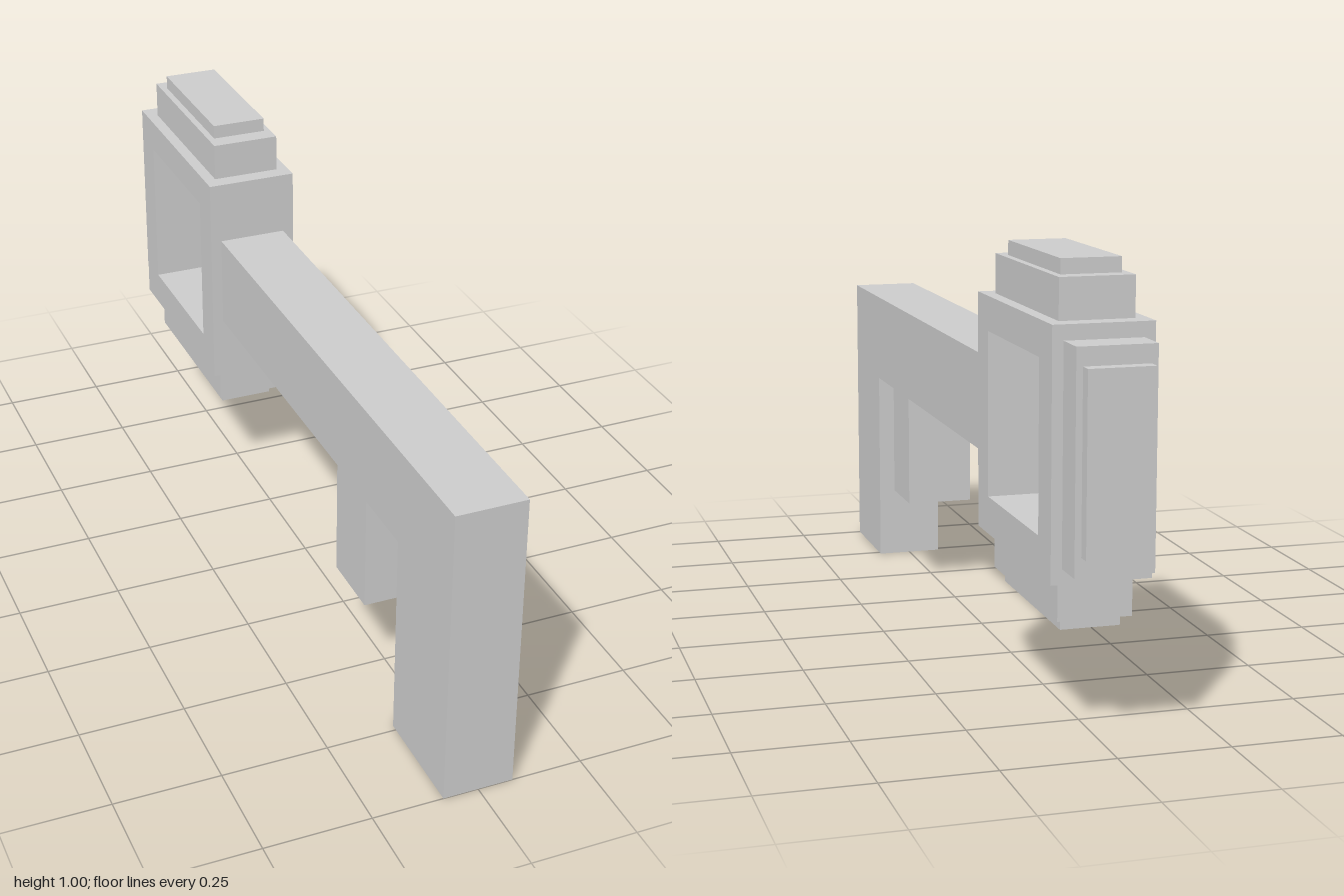
import * as THREE from 'three';

const material = new THREE.MeshStandardMaterial({ color: 0xcccccc, flatShading: true });

// Side profile given as [z, y] points, extruded across x and centred on it
function profile(name, points, width, hole) {
  const toVectors = (list) => list.map(([z, y]) => new THREE.Vector2(z, y));
  const shape = new THREE.Shape(toVectors(points));
  if (hole) shape.holes.push(new THREE.Path(toVectors(hole)));
  const geometry = new THREE.ExtrudeGeometry(shape, { depth: width, bevelEnabled: false });
  geometry.translate(0, 0, -width / 2).rotateY(-Math.PI / 2);
  const mesh = new THREE.Mesh(geometry, material);
  mesh.name = name;
  return mesh;
}

// Box from its width and its z and y limits
function block(name, width, z0, z1, y0, y1) {
  const mesh = new THREE.Mesh(new THREE.BoxGeometry(width, y1 - y0, z1 - z0), material);
  mesh.position.set(0, (y0 + y1) / 2, (z0 + z1) / 2);
  mesh.name = name;
  return mesh;
}

const rect = (z0, z1, y0, y1) => [[z0, y0], [z1, y0], [z1, y1], [z0, y1]];

export function createModel() {
  const key = new THREE.Group();
  key.name = 'key';

  // Shaft with a long end tooth and a short inner tooth
  key.add(profile('shaftAndTeeth', [
    [-0.355, 0.725], [-0.355, 0.5], [0.4, 0.5], [0.4, 0.22], [0.565, 0.22],
    [0.565, 0.5], [0.735, 0.5], [0.735, 0], [1, 0], [1, 0.725],
  ], 0.166));

  // Square bow with a window through it
  key.add(profile('bow', rect(-0.89, -0.355, 0.342, 0.878), 0.22,
    rect(-0.805, -0.435, 0.427, 0.8)));

  // Stepped plates on the top, bottom and back of the bow
  const plates = [
    ['topStep', 0.164, -0.845, -0.395, 0.878, 0.967],
    ['topCap', 0.132, -0.805, -0.44, 0.967, 1],
    ['bottomStep', 0.164, -0.85, -0.39, 0.252, 0.342],
    ['bottomCap', 0.132, -0.82, -0.42, 0.225, 0.252],
    ['backStep', 0.172, -0.97, -0.89, 0.375, 0.845],
    ['backCap', 0.144, -1, -0.97, 0.418, 0.805],
  ];
  for (const plate of plates) key.add(block(...plate));

  return key;
}
